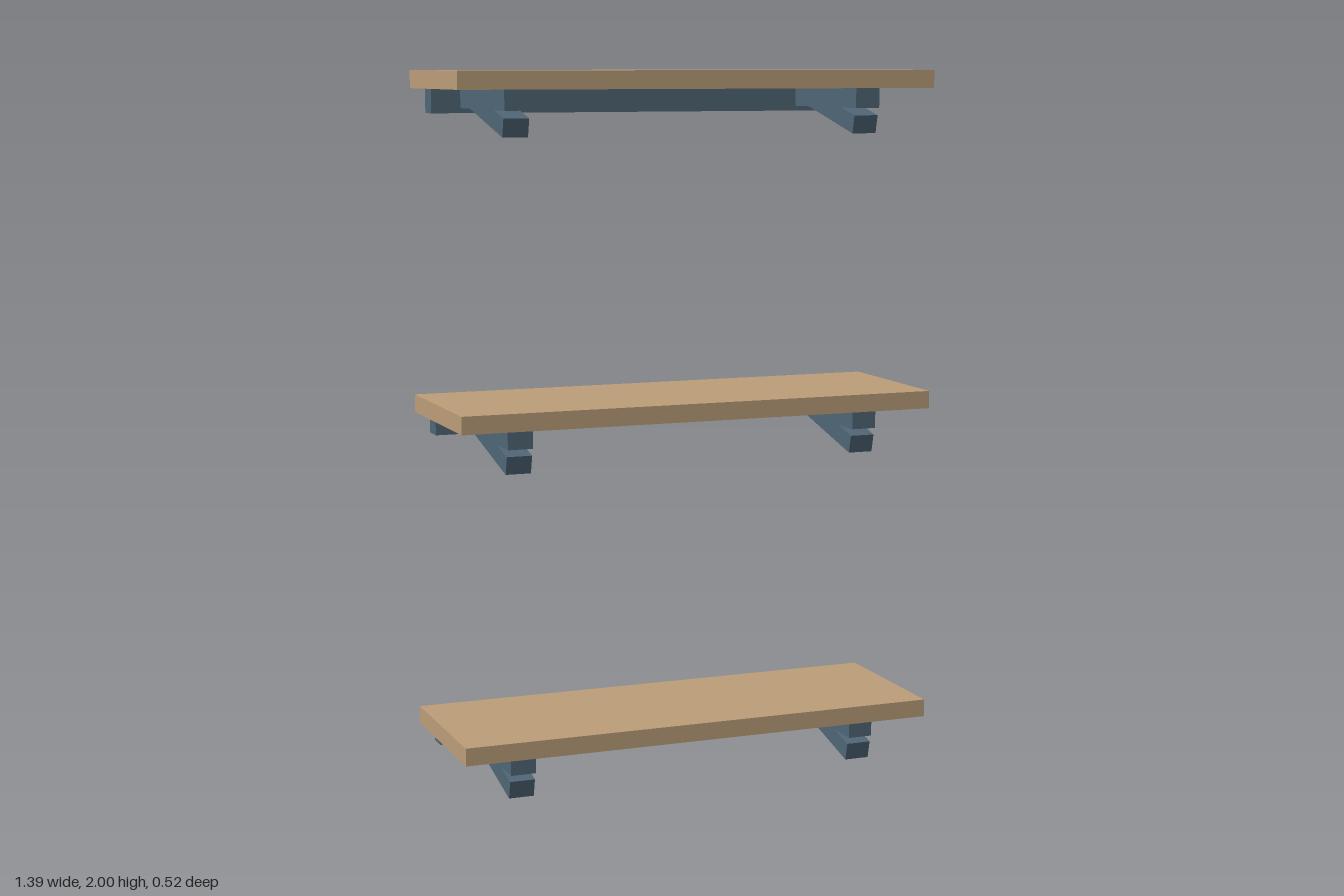
import * as THREE from 'three';

export function createModel() {
  const model = new THREE.Group();
  model.name = 'wallShelves';

  const wood = new THREE.MeshStandardMaterial({ color: 0xbc9e79 });
  wood.name = 'wood';
  const metal = new THREE.MeshStandardMaterial({ color: 0x506676 });
  metal.name = 'slate metal';

  function box(parent, name, size, position, material) {
    const mesh = new THREE.Mesh(new THREE.BoxGeometry(...size), material);
    mesh.name = name;
    mesh.position.set(...position);
    parent.add(mesh);
    return mesh;
  }

  // Three identical shelves, evenly stacked
  for (let i = 0; i < 3; i++) {
    const shelf = new THREE.Group();
    shelf.name = `shelf${i + 1}`;
    shelf.position.y = i * 0.91;
    model.add(shelf);

    box(shelf, 'board', [1.392, 0.05, 0.466], [0, 0.155, 0.025], wood);
    box(shelf, 'wallRail', [1.272, 0.09, 0.06], [-0.002, 0.105, -0.231], metal);

    // Bracket under each end: level arm and sloping brace
    for (const side of [-1, 1]) {
      const bracket = new THREE.Group();
      bracket.name = side > 0 ? 'leftBracket' : 'rightBracket';
      bracket.position.x = side * 0.515 - 0.002;
      shelf.add(bracket);
      box(bracket, 'arm', [0.072, 0.056, 0.412], [0, 0.102, 0.004], metal);
      const brace = box(bracket, 'brace', [0.072, 0.052, 0.33], [0, 0.067, 0.034], metal);
      brace.rotation.x = THREE.MathUtils.degToRad(13.5);
    }
  }
  return model;
}
